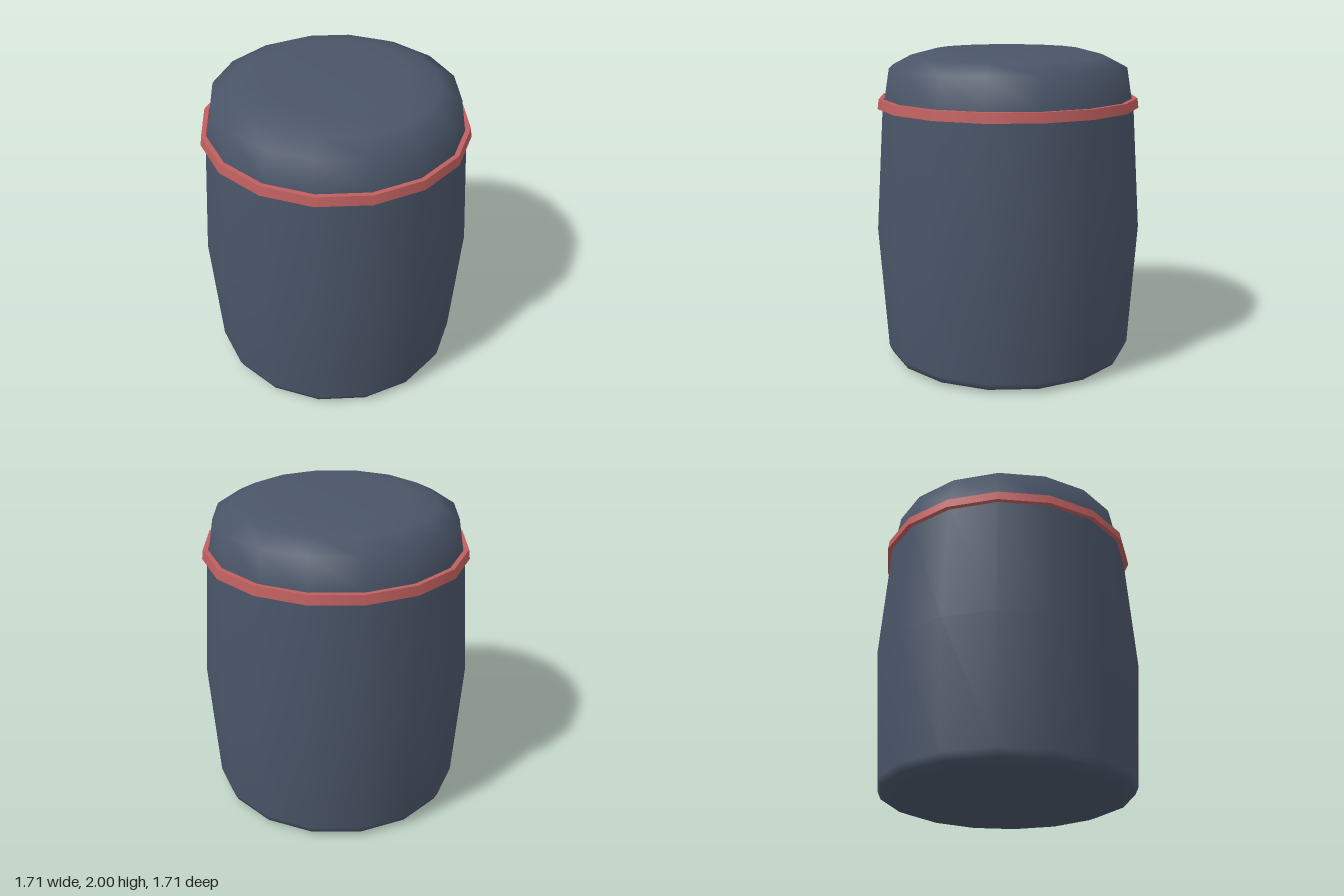
import * as THREE from 'three';
import { mergeGeometries } from 'three/addons/utils/BufferGeometryUtils.js';

const SIDES = 16;
const slate = new THREE.MeshStandardMaterial({ color: 0x4a5568 });
slate.name = 'slate';
const red = new THREE.MeshStandardMaterial({ color: 0xc05f5f });
red.name = 'red';

const lathe = (profile) =>
  new THREE.LatheGeometry(profile.map(([r, y]) => new THREE.Vector2(r, y)), SIDES);

// One lathe strip per profile edge keeps the edges between strips sharp
const sharpLathe = (profile) =>
  mergeGeometries(profile.slice(1).map((p, i) => lathe([profile[i], p])));

function part(name, geometry, material) {
  const mesh = new THREE.Mesh(geometry, material);
  mesh.name = name;
  return mesh;
}

export function createModel() {
  const group = new THREE.Group();
  group.name = 'barrel';

  // Bulging body with a rounded foot
  group.add(part('body', lathe([
    [0.72, 0], [0.784, 0.025], [0.805, 0.07], [0.855, 0.87], [0.8, 1.66],
  ]), slate));

  // Flat underside
  group.add(part('base', lathe([[0, 0], [0.72, 0]]), slate));

  // Domed lid with a flat top
  group.add(part('lid', lathe([
    [0.8, 1.65], [0.787, 1.7], [0.755, 1.89], [0.63, 1.955], [0.455, 2], [0, 2],
  ]), slate));

  // Raised band at the seam
  group.add(part('band', sharpLathe([
    [0.78, 1.64], [0.832, 1.64], [0.824, 1.7], [0.795, 1.7], [0.78, 1.64],
  ]), red));

  return group;
}
